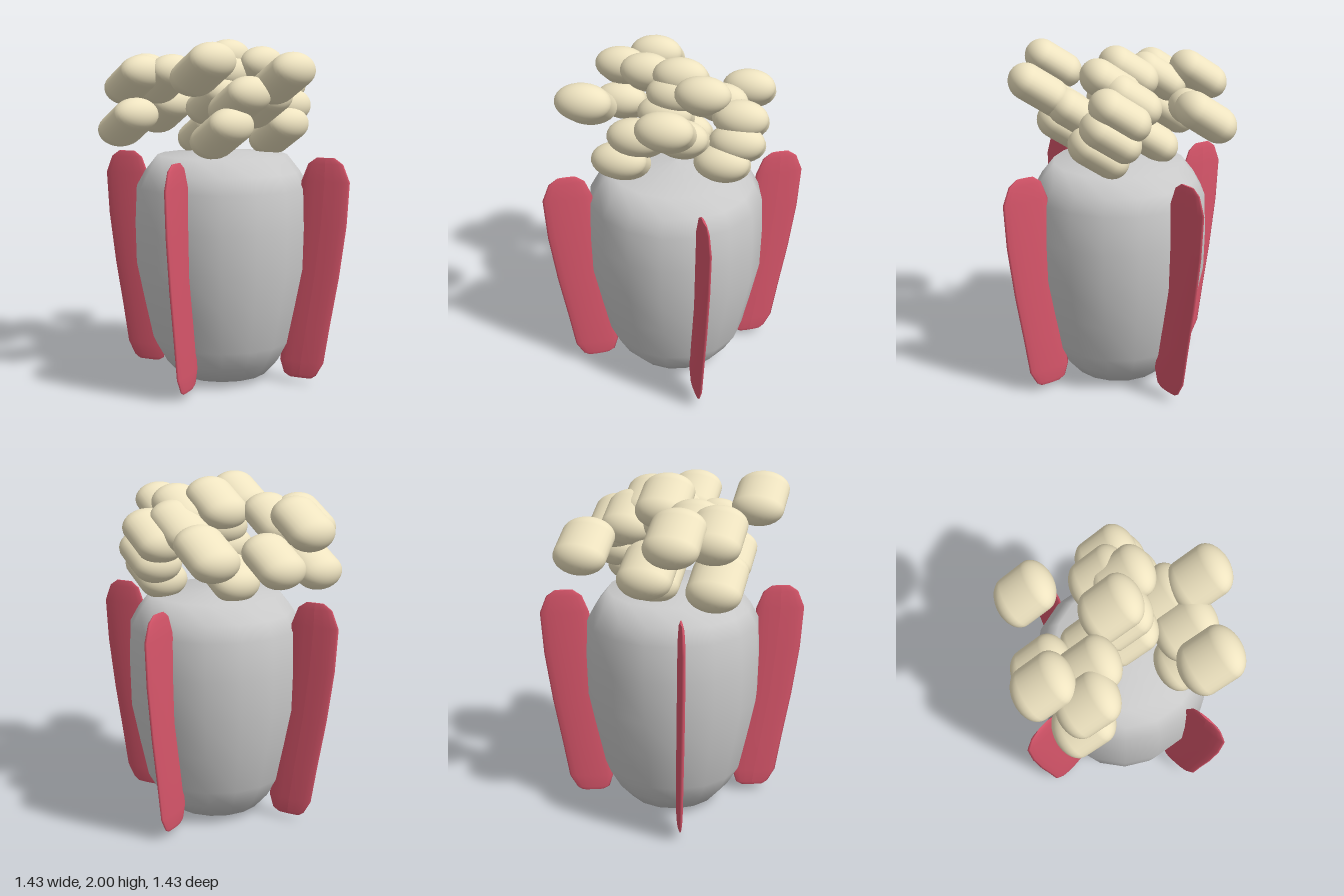
import * as THREE from 'three';

const bodyMaterial = new THREE.MeshStandardMaterial({ color: 0xcccccc });
const finMaterial = new THREE.MeshStandardMaterial({ color: 0xd9566b });
const puffMaterial = new THREE.MeshStandardMaterial({ color: 0xeee3c0 });

function part(name, geometry, material) {
  const mesh = new THREE.Mesh(geometry, material);
  mesh.name = name;
  return mesh;
}

// Sixteen-sided barrel body with slightly domed ends
function createBody() {
  const profile = [
    [0, 0.005], [0.27, 0.035], [0.35, 0.125], [0.415, 0.24], [0.465, 0.47], [0.51, 0.69],
    [0.515, 0.93], [0.505, 1.15], [0.455, 1.24], [0.38, 1.335], [0, 1.365],
  ].map(([r, y]) => new THREE.Vector2(r, y));
  return part('body', new THREE.LatheGeometry(profile, 16), bodyMaterial);
}

// Lens-shaped fin: each row is [height, inner radius, outer radius, half thickness]
function createFinGeometry() {
  const rows = [
    [0.04, 0.43, 0.56, 0.006], [0.06, 0.395, 0.59, 0.012], [0.14, 0.37, 0.635, 0.017],
    [0.36, 0.40, 0.67, 0.019], [0.65, 0.44, 0.72, 0.02], [0.95, 0.47, 0.76, 0.02],
    [1.2, 0.49, 0.775, 0.019], [1.3, 0.53, 0.735, 0.014], [1.335, 0.58, 0.685, 0.006],
  ];
  const last = rows.length - 1;
  const geometry = new THREE.CylinderGeometry(1, 1, 1, 16, last);
  const p = geometry.attributes.position;
  for (let i = 0; i < p.count; i++) {
    const [y, inner, outer, t] = rows[Math.round((p.getY(i) + 0.5) * last)];
    p.setXYZ(i, (inner + outer) / 2 + p.getX(i) * (outer - inner) / 2, y, p.getZ(i) * t);
  }
  geometry.computeVertexNormals();
  return geometry;
}

// Flattened, tilted capsule shared by every puff of the plume
function createPuffGeometry() {
  const geometry = new THREE.CapsuleGeometry(0.102, 0.16, 10, 28);
  geometry.scale(1, 1, 1.5);
  geometry.rotateZ(THREE.MathUtils.degToRad(33 - 90));
  return geometry;
}

export function createModel() {
  const model = new THREE.Group();
  model.name = 'finnedBarrel';
  model.add(createBody());

  // Four fins around the body
  const finGeometry = createFinGeometry();
  const fins = new THREE.Group();
  fins.name = 'fins';
  for (let i = 0; i < 4; i++) {
    const fin = part('fin', finGeometry, finMaterial);
    fin.rotation.y = Math.PI / 8 + i * Math.PI / 2;
    fins.add(fin);
  }
  model.add(fins);

  // Cluster of puffs above the body
  const puffGeometry = createPuffGeometry();
  const plume = new THREE.Group();
  plume.name = 'plume';
  const centres = [
    // right side
    [-0.40, 1.655, -0.38], [-0.53, 1.775, 0.185], [-0.48, 1.58, 0.02],
    [-0.36, 1.765, 0.36], [-0.40, 1.52, 0.38], [-0.28, 1.77, 0.2],
    // middle and back
    [-0.05, 1.855, -0.03], [-0.01, 1.765, 0], [0, 1.65, 0.05], [-0.17, 1.465, -0.04],
    [0.085, 1.815, -0.17], [-0.01, 1.74, -0.255], [0.08, 1.69, -0.375],
    [0.13, 1.57, -0.365], [0.18, 1.465, -0.29],
    // left side
    [0.25, 1.635, -0.07], [0.46, 1.78, -0.02], [0.3, 1.65, 0.16],
    [0.295, 1.83, 0.435], [0.26, 1.48, 0.26],
  ];
  for (const [x, y, z] of centres) {
    const puff = part('puff', puffGeometry, puffMaterial);
    puff.position.set(x, y, z);
    plume.add(puff);
  }
  model.add(plume);

  return model;
}
